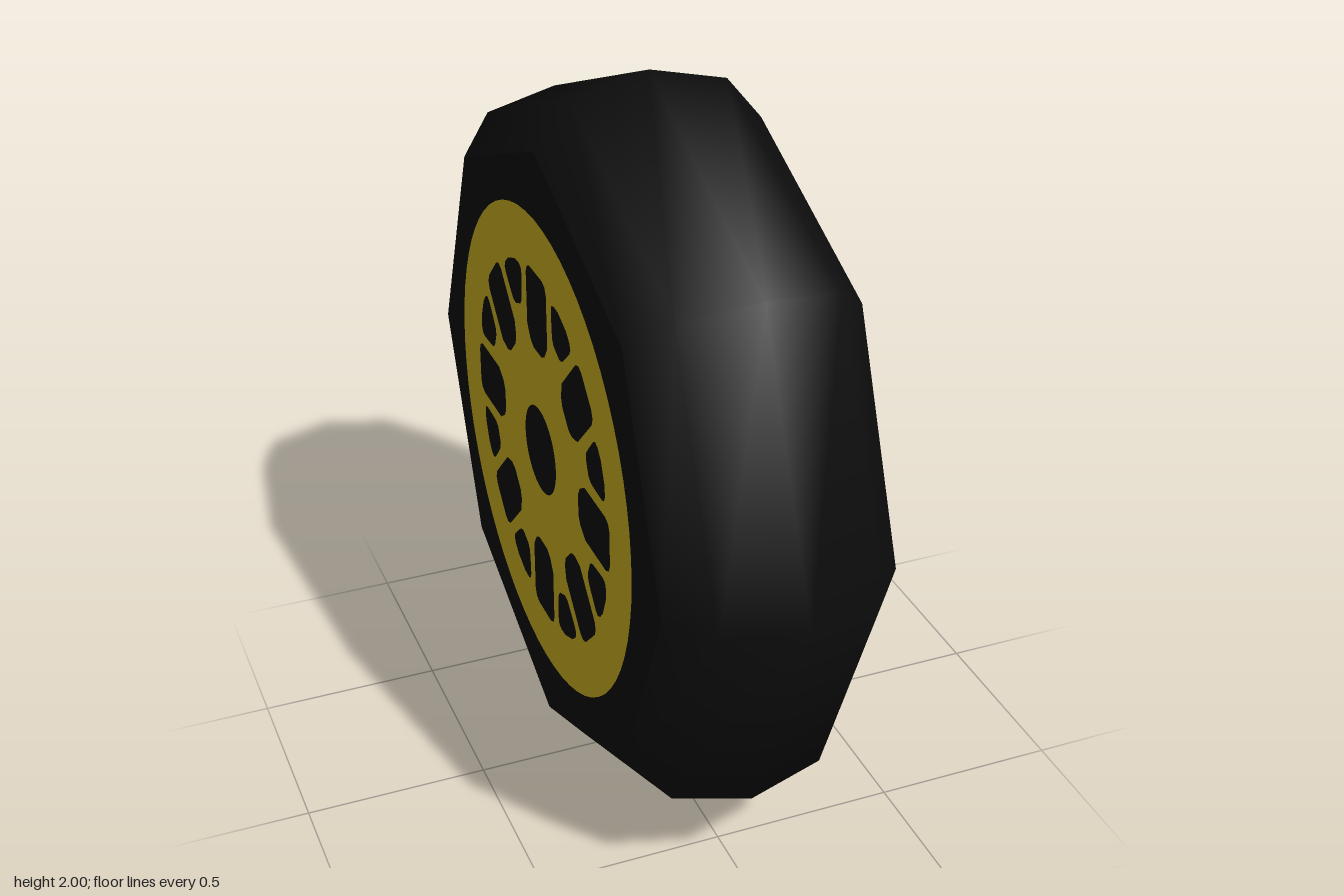
import * as THREE from 'three';

const tyreBlack = new THREE.MeshStandardMaterial({ color: 0x0c0c0c });
tyreBlack.name = 'tyreBlack';
const rimYellow = new THREE.MeshStandardMaterial({ color: 0xcfb422 });
rimYellow.name = 'rimYellow';

// Closed hole from [radius, halfWidth] pairs, mirrored about the radial line at the given angle
function radialHole(pairs, angle) {
  const outline = [...pairs, ...pairs.slice().reverse().map(([r, w]) => [r, -w])];
  const pivot = new THREE.Vector2();
  return new THREE.Path(outline.map(([r, w]) => new THREE.Vector2(r, w).rotateAround(pivot, angle)));
}

// Flat wheel face: outer ring, eight slots, eight windows between the spokes, centre bore
function rimFaceGeometry() {
  const shape = new THREE.Shape();
  shape.absarc(0, 0, 0.655, 0, Math.PI * 2);
  const bore = new THREE.Path();
  bore.absarc(0, 0, 0.12, 0, Math.PI * 2, true);
  shape.holes.push(bore);
  const slot = [[0.287, 0.03], [0.3, 0.054], [0.335, 0.077], [0.48, 0.077], [0.5, 0.068], [0.509, 0.048]];
  const spokeWindow = [[0.387, 0.022], [0.398, 0.038], [0.42, 0.05], [0.465, 0.071], [0.482, 0.073], [0.495, 0.06], [0.505, 0.03]];
  for (let i = 0; i < 8; i++) {
    const a = (i * Math.PI) / 4;
    shape.holes.push(radialHole(slot, a), radialHole(spokeWindow, a + Math.PI / 8));
  }
  return new THREE.ShapeGeometry(shape, 32);
}

export function createModel() {
  const wheel = new THREE.Group();
  wheel.name = 'wheel';

  // Eight-sided tread, turned about the axle
  const profile = [[0.834, -0.3], [0.95, -0.205], [1, 0], [0.95, 0.205], [0.834, 0.3]];
  const treadGeometry = new THREE.LatheGeometry(profile.map(([r, x]) => new THREE.Vector2(r, x)), 8);
  treadGeometry.rotateZ(-Math.PI / 2);
  const tread = new THREE.Mesh(treadGeometry, tyreBlack);
  tread.name = 'tread';
  wheel.add(tread);

  // Sidewall and rim face, the same on both sides
  const sidewallGeometry = new THREE.CircleGeometry(0.834, 8);
  const rimGeometry = rimFaceGeometry();
  for (const [side, sign] of [['left', 1], ['right', -1]]) {
    const sidewall = new THREE.Mesh(sidewallGeometry, tyreBlack);
    sidewall.name = side + 'Sidewall';
    sidewall.position.x = sign * 0.3;
    const rim = new THREE.Mesh(rimGeometry, rimYellow);
    rim.name = side + 'Rim';
    rim.position.x = sign * 0.304;
    sidewall.rotation.y = rim.rotation.y = (sign * Math.PI) / 2;
    wheel.add(sidewall, rim);
  }

  wheel.position.y = 1;
  const model = new THREE.Group();
  model.name = 'model';
  model.add(wheel);
  return model;
}
